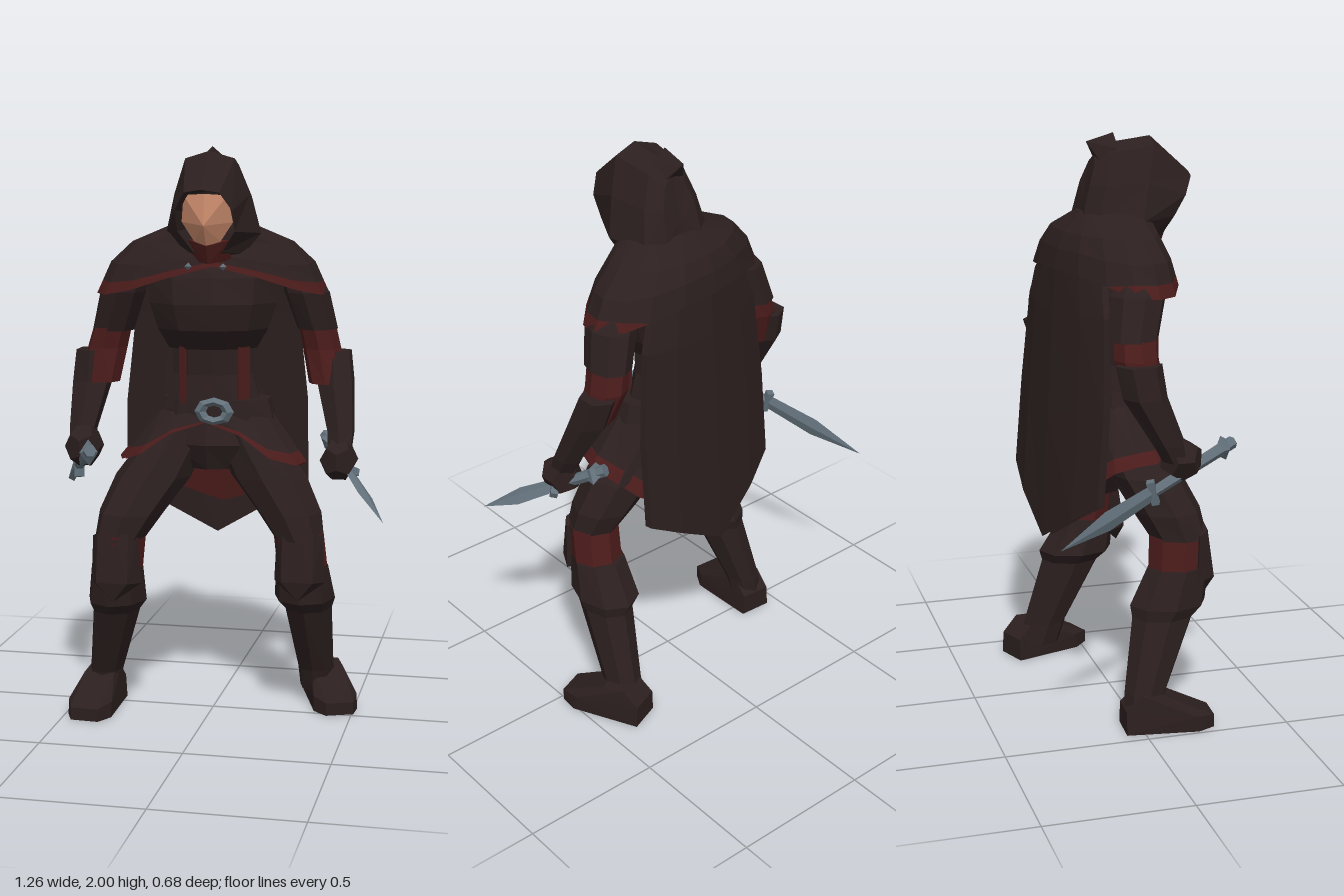
import * as THREE from 'three';
import { ConvexGeometry } from 'three/addons/geometries/ConvexGeometry.js';

const mat = (name, color, side = THREE.FrontSide) =>
  Object.assign(new THREE.MeshStandardMaterial({ color, side, flatShading: true }), { name });

export function createModel() {
  const root = new THREE.Group();
  root.name = 'hoodedFigure';
  const cloth = mat('dark cloth', 0x2c1f1f, THREE.DoubleSide);
  const red = mat('dark red', 0x4b1c1b, THREE.DoubleSide);
  const flesh = mat('skin', 0xc98a6b);
  const steel = mat('steel', 0x62707a);

  const add = (name, geo, material, parent = root) => {
    const m = new THREE.Mesh(geo, material);
    m.name = name;
    parent.add(m);
    return m;
  };

  // Surface through closed rings of points, with optional end caps
  const skin = (rings, capA = true, capB = true) => {
    const pos = [];
    const tri = (...pts) => pts.forEach(p => pos.push(...p));
    const mid = r => [0, 1, 2].map(k => r.reduce((s, p) => s + p[k], 0) / r.length);
    const n = rings[0].length, last = rings[rings.length - 1];
    for (let j = 0; j < n; j++) {
      const k = (j + 1) % n;
      for (let i = 0; i < rings.length - 1; i++) {
        const a = rings[i], b = rings[i + 1];
        tri(a[j], b[j], b[k]);
        tri(a[j], b[k], a[k]);
      }
      if (capA) tri(mid(rings[0]), rings[0][j], rings[0][k]);
      if (capB) tri(mid(last), last[k], last[j]);
    }
    const g = new THREE.BufferGeometry();
    g.setAttribute('position', new THREE.Float32BufferAttribute(pos, 3));
    g.computeVertexNormals();
    return g;
  };
  // Level oval ring: height, centre x, centre z, radius x, radius z
  const ring = ([y, cx, cz, rx, rz], n = 8) => Array.from({ length: n }, (_, j) => {
    const a = (j / n) * Math.PI * 2;
    return [cx + rx * Math.sin(a), y, cz + rz * Math.cos(a)];
  });
  const loft = (sections, n = 8) => skin(sections.map(s => ring(s, n)));
  const hull = pts => new ConvexGeometry(pts.map(p => new THREE.Vector3(...p)));
  const mixRings = (a, b, t) => a.map((p, i) => p.map((v, k) => v + (b[i][k] - v) * t(i)));
  // Ring whose height follows a half list, mirrored left to right
  const wavy = (ys, cz, rx, rz) => ring([0, 0, cz, rx, rz], 16)
    .map(([x, , z], j) => [x, ys[j <= 8 ? j : 16 - j], z]);

  // Upper body, turned a little at the shoulders
  const upper = new THREE.Group();
  upper.name = 'upperBody';
  upper.rotation.y = 0.2;
  root.add(upper);
  add('chest', loft([[1.68, 0, 0, .17, .11], [1.56, 0, .01, .24, .16], [1.47, 0, .01, .23, .18],
    [1.38, 0, .01, .2, .16], [1.31, 0, 0, .16, .11]], 10), cloth, upper);
  add('waist', loft([[1.34, 0, 0, .15, .1], [1.22, 0, 0, .145, .095], [1.1, 0, 0, .18, .11]], 10), cloth, upper);
  for (const s of [-1, 1]) {
    const sash = add('waistStripe', new THREE.BoxGeometry(s > 0 ? .05 : .025, .2, .009), red, upper);
    sash.position.set(s * .105, 1.22, .08);
    sash.rotation.y = s * .72;
    add('cloakClasp', new THREE.OctahedronGeometry(.013), steel).position.set(.01 + s * .06, 1.6, .175);
  }

  // Shoulder mantle; the red hem fades out behind
  const neck = ring([1.74, 0, .01, .13, .12], 16);
  const slope = ring([1.675, 0, -.02, .28, .15], 16);
  const outer = wavy([1.64, 1.62, 1.6, 1.6, 1.605, 1.6, 1.61, 1.62, 1.62], -.02, .355, .175);
  const rim = wavy([1.6, 1.56, 1.515, 1.495, 1.495, 1.5, 1.53, 1.55, 1.55], -.02, .405, .19);
  const trimTop = mixRings(outer, rim, j => Math.abs(j - 8) <= 2 ? 1 : .6);
  add('mantle', skin([neck, slope, outer, trimTop], true, false), cloth, upper);
  add('mantleTrim', skin([trimTop, rim], false, false), red, upper);

  // Back cape, pointed at the bottom
  const columns = [-1, -.6, 0, .6, 1];
  const capeRow = (y, w, z, drop) => {
    const line = (dz, curve) => columns.map(f =>
      [.015 + f * w, y - drop * (1 - Math.abs(f)), z + dz - curve * (1 - f * f)]);
    return [...line(.025, .04), ...line(0, .05).reverse()];
  };
  add('cape', skin([capeRow(1.6, .22, -.14, 0), capeRow(1.42, .29, -.16, .02),
    capeRow(1.1, .325, -.18, .05), capeRow(.79, .33, -.205, .19)], false, false), cloth, upper);

  // Hips, belt, buckle
  add('hips', loft([[1.12, 0, 0, .17, .11], [.98, 0, .01, .19, .13], [.89, 0, .01, .09, .09]]), cloth);
  add('belt', loft([[1.135, .015, 0, .195, .122], [1.065, .015, 0, .215, .13]], 10), cloth);
  const buckle = add('buckle', new THREE.TorusGeometry(.041, .017, 4, 8), steel);
  buckle.position.set(.03, 1.1, .13);
  buckle.scale.set(1.2, .85, 1);

  // Tunic skirt: dark outside, red lining and hem, long tail behind
  const skirtTop = ring([1.09, .01, 0, .2, .12], 16);
  const hem = wavy([1.06, 1.02, .945, .915, .915, .89, .82, .765, .725], .01, .335, .2);
  hem[0][2] = .13;
  hem[1][2] = hem[15][2] = .15;
  const hemTop = mixRings(skirtTop, hem, () => .78);
  add('skirt', skin([skirtTop, hemTop], false, false), cloth);
  add('skirtTrim', skin([hemTop, hem], false, false), red);
  const shrink = r => r.map(([x, y, z]) => [x * .96, y, z * .96]);
  add('skirtLining', skin([shrink(skirtTop), shrink(hem)], false, false), red);

  // Legs: the right one steps forward, the left one stands back
  const leg = (side, s) => {
    const g = new THREE.Group();
    g.name = side + 'Leg';
    root.add(g);
    add('thigh', loft(s.thigh), cloth, g);
    add('kneeBand', loft(s.knee), red, g);
    add('boot', loft(s.boot), cloth, g);
    // Guard covers the front of the knee
    const [kx, ky, kz] = s.cap;
    const guard = [[kx, ky + .11, kz + .015], [kx, ky - .14, kz + .02]];
    for (const x of [-1, 1]) guard.push([kx + x * .08, ky + .085, kz - .025], [kx + x * .055, ky + .1, kz + .01],
      [kx + x * .09, ky - .08, kz - .035], [kx + x * .055, ky - .07, kz + .035]);
    add('kneeGuard', hull(guard), cloth, g);
    // Foot, wider at the toe
    const foot = new THREE.Group();
    foot.position.set(s.heel[0], 0, s.heel[1]);
    foot.rotation.y = s.turn;
    foot.name = 'foot';
    g.add(foot);
    const pts = [];
    for (const x of [-1, 1]) pts.push([x * .06, 0, 0], [x * .055, .08, 0], [x * .055, .135, .06],
      [x * .055, .125, .14], [x * .08, .055, .24], [x * .08, 0, .25], [x * .05, .045, .31], [x * .05, 0, .31]);
    add('shoe', hull(pts), cloth, foot);
  };
  leg('left', {
    thigh: [[1.02, .11, -.01, .11, .12], [.86, .2, .0, .135, .125], [.74, .275, .02, .115, .11], [.65, .315, .04, .088, .088]],
    knee: [[.67, .312, .037, .089, .089], [.5, .325, .0, .09, .09]],
    boot: [[.55, .32, .005, .093, .1], [.42, .325, -.04, .108, .138], [.38, .335, -.055, .085, .11],
      [.13, .35, -.155, .065, .08], [.05, .35, -.18, .06, .08]],
    cap: [.322, .58, .1], heel: [.345, -.285], turn: .38,
  });
  leg('right', {
    thigh: [[1.02, -.11, .01, .11, .12], [.86, -.2, .07, .135, .125], [.74, -.265, .13, .115, .12], [.65, -.3, .165, .088, .1]],
    knee: [[.67, -.295, .162, .089, .102], [.5, -.315, .15, .09, .1]],
    boot: [[.55, -.31, .16, .093, .11], [.42, -.32, .12, .105, .135], [.38, -.33, .1, .085, .11],
      [.13, -.39, .02, .06, .075], [.05, -.4, .01, .06, .07]],
    cap: [-.302, .58, .24], heel: [-.395, -.06], turn: -.06,
  });

  // Arms with red elbows, bracers and gloved fists
  const arm = (side, s) => {
    const g = new THREE.Group();
    g.name = side + 'Arm';
    root.add(g);
    add('sleeve', loft(s.sleeve), cloth, g);
    add('elbow', loft(s.elbow), red, g);
    add('bracer', loft(s.bracer, 6), cloth, g);
    const fist = add('fist', new THREE.DodecahedronGeometry(.08), cloth, g);
    fist.position.set(...s.fist);
    fist.scale.set(.85, .95, .95);
  };
  arm('left', {
    sleeve: [[1.6, .27, -.08, .05, .06], [1.5, .315, -.09, .08, .095], [1.37, .35, -.115, .072, .088]],
    elbow: [[1.4, .345, -.115, .066, .078], [1.3, .365, -.125, .068, .076], [1.18, .39, -.095, .066, .062]],
    bracer: [[1.29, .41, -.14, .062, .07], [1.18, .42, -.1, .07, .072], [1.02, .45, -.02, .05, .055], [.96, .45, .01, .045, .05]],
    fist: [.45, .93, .025],
  });
  arm('right', {
    sleeve: [[1.6, -.27, .03, .05, .06], [1.5, -.32, .01, .082, .095], [1.36, -.365, -.02, .075, .085]],
    elbow: [[1.39, -.36, -.01, .068, .078], [1.3, -.385, -.015, .072, .076], [1.18, -.405, .01, .07, .065]],
    bracer: [[1.29, -.43, -.02, .07, .079], [1.18, -.437, .0, .072, .076], [1.02, -.45, .08, .05, .055], [.96, -.445, .11, .045, .05]],
    fist: [-.435, .965, .125],
  });

  // Daggers: aimed from pommel to tip, flat blade turned toward a hint
  const dagger = (name, pommel, tip, hint, bladeLength) => {
    const a = new THREE.Vector3(...pommel), b = new THREE.Vector3(...tip);
    const len = a.distanceTo(b), y = b.sub(a).normalize();
    const z = new THREE.Vector3(...hint).cross(y).normalize();
    const g = new THREE.Group();
    g.name = name;
    g.position.copy(a);
    g.quaternion.setFromRotationMatrix(new THREE.Matrix4().makeBasis(y.clone().cross(z), y, z));
    root.add(g);
    const start = len - bladeLength;
    const blade = add('blade', new THREE.LatheGeometry([[0, 0], [.028, .005], [.035, bladeLength * .5], [0, bladeLength]]
      .map(p => new THREE.Vector2(...p)), 4), steel, g);
    blade.position.y = start;
    blade.scale.z = .28;
    const guard = add('guard', new THREE.CylinderGeometry(.018, .018, .085, 4), steel, g);
    guard.position.y = start;
    guard.rotation.z = Math.PI / 2;
    add('grip', new THREE.CylinderGeometry(.018, .022, start, 6), steel, g).position.y = start / 2;
    const end = add('pommel', new THREE.OctahedronGeometry(.046), steel, g);
    end.position.y = .045;
    end.scale.z = .7;
  };
  dagger('leftDagger', [.38, .99, -.13], [.63, .76, .245], [.5, -.3, -.8], .3);
  dagger('rightDagger', [-.355, .985, .335], [-.635, .75, -.34], [0, 1, 0], .4);

  // Hood: mirrored rings from the face opening to the back
  const hoodRing = (top, half, bottom) => {
    const c = .018;
    return [[c, ...top], ...half.map(([x, y, z]) => [c - x, y, z]), [c, ...bottom],
      ...half.map(([x, y, z]) => [c + x, y, z]).reverse()];
  };
  const opening = hoodRing([1.86, .29], [[.06, 1.85, .28], [.098, 1.79, .25], [.098, 1.72, .21], [.05, 1.65, .18]], [1.63, .17]);
  const inside = opening.map(([x, y, z]) => [.018 + (x - .018) * .9, 1.75 + (y - 1.75) * .93, z - .09]);
  add('hood', skin([inside, opening,
    hoodRing([1.985, .15], [[.085, 1.96, .14], [.13, 1.84, .11], [.165, 1.71, .08], [.11, 1.64, .1]], [1.61, .1]),
    hoodRing([1.965, .0], [[.07, 1.935, -.01], [.11, 1.83, -.035], [.135, 1.71, -.065], [.08, 1.63, -.07]], [1.62, -.07]),
    hoodRing([1.93, -.045], [[.04, 1.9, -.055], [.065, 1.83, -.08], [.075, 1.73, -.105], [.04, 1.67, -.11]], [1.66, -.11]),
  ], false, true), cloth);
  add('hoodPeak', hull([[0, 2, .015], [-.05, 1.95, .02], [.06, 1.95, .02], [0, 1.972, -.08],
    [-.03, 1.91, -.04], [.05, 1.91, -.04]]), cloth);
  // Face and scarf
  const face = [[.018, 1.74, .25], [.018, 1.67, .205], [.018, 1.845, .235]];
  for (const s of [-1, 1]) face.push([.018 + s * .075, 1.84, .215], [.018 + s * .088, 1.75, .185],
    [.018 + s * .045, 1.685, .185], [.018 + s * .06, 1.75, .1]);
  add('face', hull(face), flesh);
  add('scarf', hull([[-.05, 1.69, .17], [.09, 1.69, .17], [.02, 1.67, .212], [.02, 1.61, .19],
    [-.06, 1.62, .13], [.09, 1.62, .13]]), red);

  return root;
}
